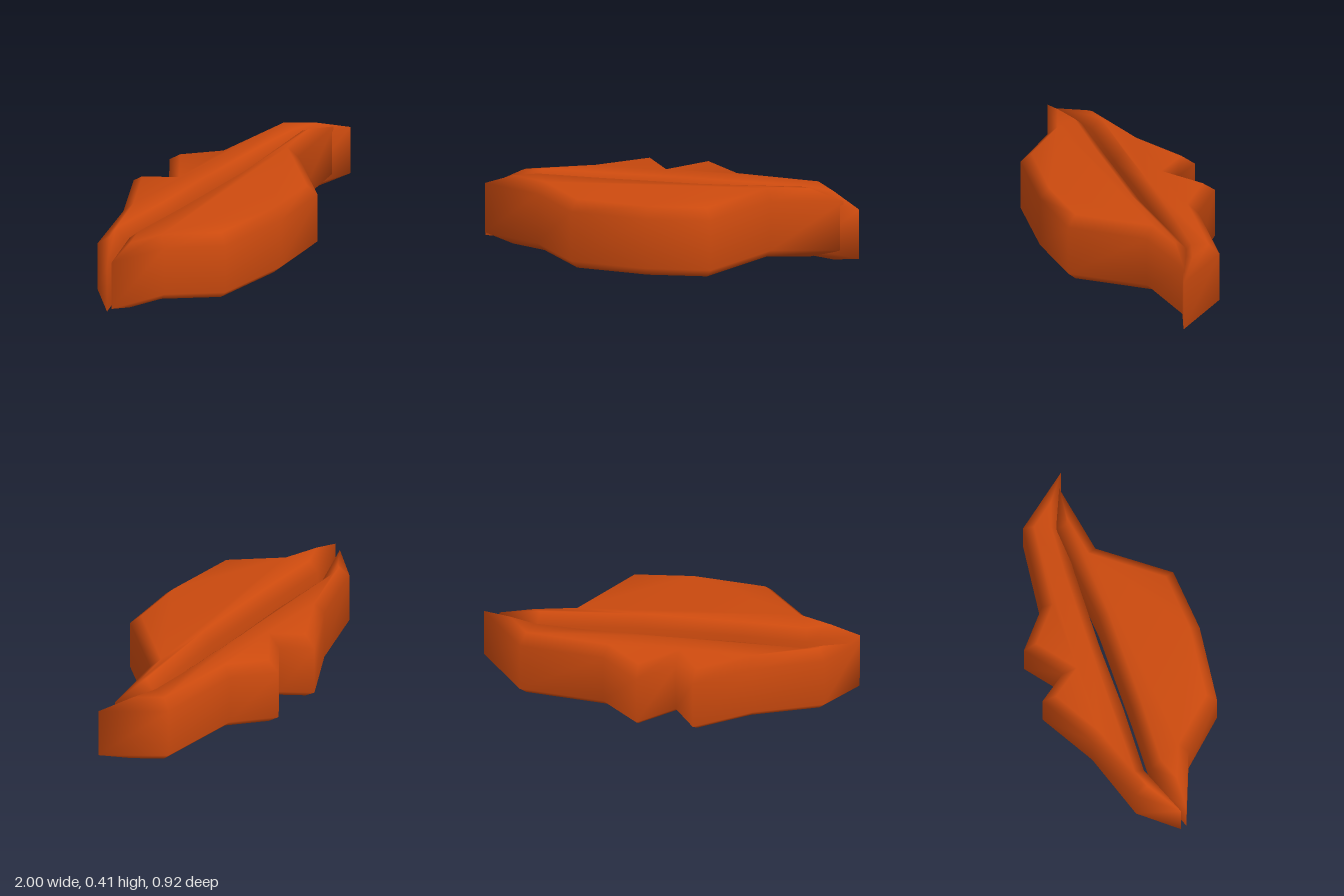
import * as THREE from 'three';

const material = new THREE.MeshStandardMaterial({ color: 0xcc4a0e });

// Move every corner of a counter-clockwise outline inwards by d (mitred corners)
function inset(points, d) {
  const n = points.length;
  const inward = (a, b) => new THREE.Vector2(a.y - b.y, b.x - a.x).normalize();
  return points.map((p, i) => {
    const n1 = inward(points[(i + n - 1) % n], p);
    const n2 = inward(p, points[(i + 1) % n]);
    return n1.clone().add(n2).multiplyScalar(d / (1 + n1.dot(n2))).add(p);
  });
}

// Smooth-shaded slab with bevelled rims; outline holds [x, z] pairs
function bevelledSlab(name, outline, bottom, top, bevel) {
  const outer = outline.map(([x, z]) => new THREE.Vector2(x, z));
  const inner = inset(outer, bevel);
  const n = outer.length;
  const rings = [[inner, bottom], [outer, bottom + bevel], [outer, top - bevel], [inner, top]];
  const positions = [];
  const index = [];
  for (const [ring, y] of rings) for (const p of ring) positions.push(p.x, y, p.y);

  // Bevels and walls
  for (let r = 0; r < 3; r++) {
    for (let i = 0; i < n; i++) {
      const a = r * n + i;
      const b = r * n + (i + 1) % n;
      index.push(a, a + n, b, b, a + n, b + n);
    }
  }
  // Bottom and top caps
  for (const [a, b, c] of THREE.ShapeUtils.triangulateShape(inner, [])) {
    index.push(a, b, c, c + 3 * n, b + 3 * n, a + 3 * n);
  }

  const geometry = new THREE.BufferGeometry();
  geometry.setAttribute('position', new THREE.Float32BufferAttribute(positions, 3));
  geometry.setIndex(index);
  geometry.computeVertexNormals();
  const mesh = new THREE.Mesh(geometry, material);
  mesh.name = name;
  return mesh;
}

export function createModel() {
  const group = new THREE.Group();
  group.name = 'lips';

  // Upper lip with its two peaks
  group.add(bevelledSlab('upperLip', [
    [-1, 0.03], [-0.84, -0.165], [-0.48, -0.285], [-0.18, -0.46], [-0.07, -0.31],
    [0.12, -0.46], [0.32, -0.29], [0.77, -0.24], [1, 0.05],
    [0.7, -0.05], [0.45, -0.065], [0, -0.075], [-0.35, -0.07], [-0.72, -0.08],
  ], 0, 0.385, 0.054));

  // Fuller lower lip, set slightly higher
  group.add(bevelledSlab('lowerLip', [
    [-1, 0.06], [-0.73, -0.04], [-0.38, -0.03], [0.15, -0.03], [0.7, -0.08], [0.91, 0.01],
    [0.53, 0.08], [0.27, 0.425], [-0.07, 0.455], [-0.48, 0.41], [-0.7, 0.175],
  ], 0.027, 0.412, 0.054));

  return group;
}
